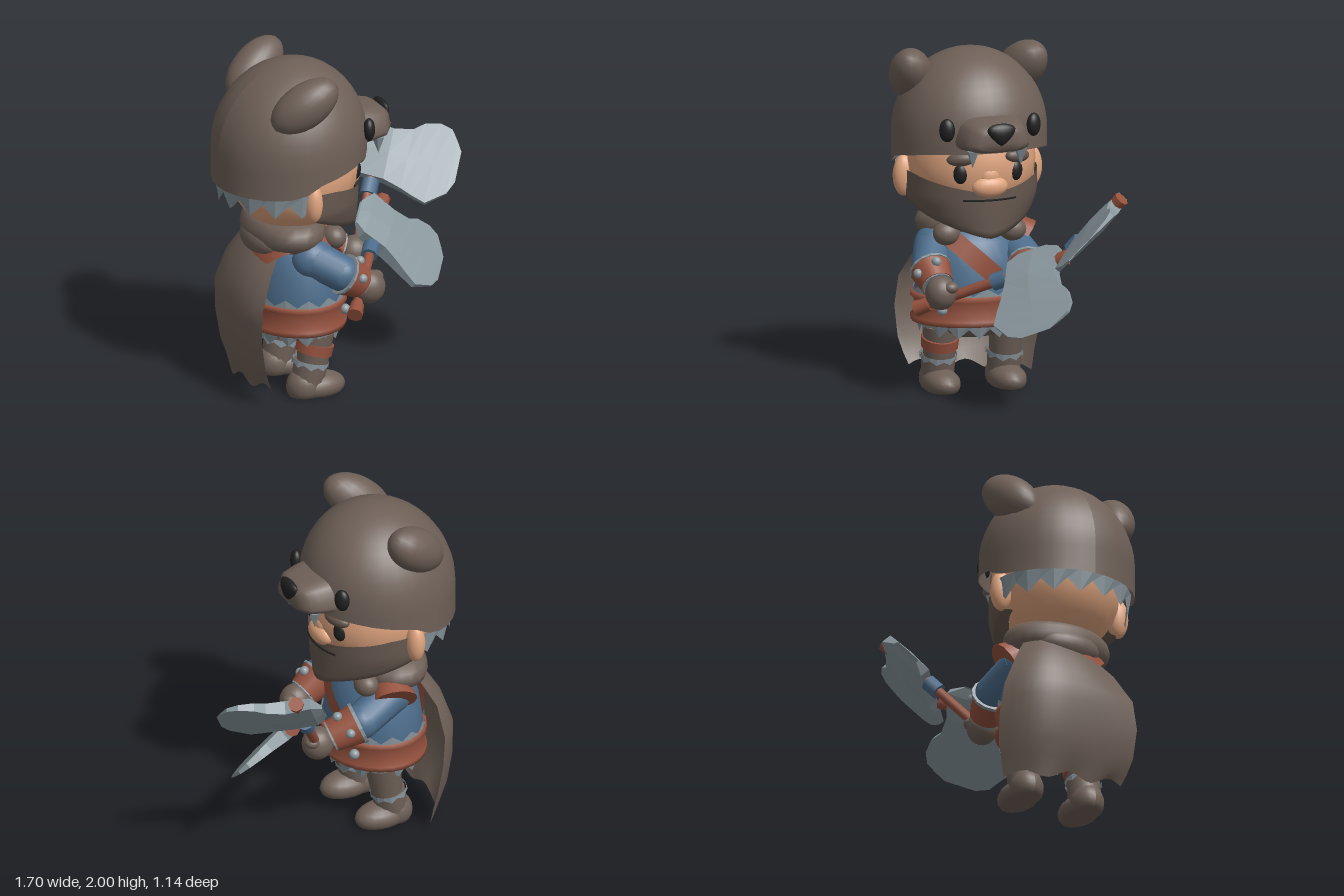
import * as THREE from 'three';

const paint = (name, color, double = false) => {
  const m = new THREE.MeshStandardMaterial({ color, side: double ? THREE.DoubleSide : THREE.FrontSide });
  m.name = name;
  return m;
};
const V = (x, y, z) => new THREE.Vector3(x, y, z);
const CZ = 0.1; // the body's middle plane

export function createModel() {
  const fur = paint('brown fur', 0x6e6057, true);
  const hair = paint('beard brown', 0x65574e, true);
  const skin = paint('skin', 0xe0a57f);
  const blue = paint('blue cloth', 0x4d6d8c);
  const leather = paint('red leather', 0x96523e, true);
  const steel = paint('steel', 0x8b999f, true);
  const trim = paint('grey trim', 0x87949b, true);
  trim.flatShading = steel.flatShading = true;
  const black = paint('black', 0x202020);

  const model = new THREE.Group();
  const add = (name, geo, mat, pos = V(0, 0, 0), parent = model) => {
    const m = new THREE.Mesh(geo, mat);
    m.name = name;
    m.position.copy(pos);
    parent.add(m);
    return m;
  };
  const ball = (name, mat, pos, s, rot = [0, 0, 0]) => {
    const m = add(name, new THREE.SphereGeometry(1, 20, 14), mat, pos);
    m.scale.set(...s);
    m.rotation.set(...rot);
    return m;
  };
  // tapered cylinder from a to b
  const limb = (name, mat, a, b, ra, rb, parent = model, sides = 14) => {
    const m = add(name, new THREE.CylinderGeometry(rb, ra, a.distanceTo(b), sides), mat,
      a.clone().lerp(b, 0.5), parent);
    m.quaternion.setFromUnitVectors(V(0, 1, 0), b.clone().sub(a).normalize());
    return m;
  };
  // surface from a rule over u, v in 0..1
  const sheet = (name, mat, nu, nv, rule, parent = model) => {
    const g = new THREE.PlaneGeometry(1, 1, nu, nv), p = g.attributes.position, uv = g.attributes.uv;
    for (let i = 0; i < p.count; i++) p.setXYZ(i, ...rule(uv.getX(i), uv.getY(i)));
    g.computeVertexNormals();
    return add(name, g, mat, V(0, 0, 0), parent);
  };
  // open band with a jagged lower edge
  const zigzag = (name, c, rx, rz, h, teeth, start = 0, arc = Math.PI * 2, flare = 1) => {
    const g = new THREE.CylinderGeometry(1, flare, h, teeth * 2, 1, true, start, arc), p = g.attributes.position;
    const row = teeth * 2 + 1;
    for (let i = 0; i < row; i += 2) p.setY(row + i, h * 0.05);
    const m = add(name, g, trim, c);
    m.scale.set(rx, 1, rz);
    return m;
  };
  const lathe = (name, mat, pts, sx) => {
    const m = add(name, new THREE.LatheGeometry(pts.map(p => new THREE.Vector2(...p)), 28), mat, V(-0.37, 0, CZ));
    m.scale.x = sx;
    return m;
  };
  // piecewise linear lookup on evenly spaced values
  const track = (vals, t) => {
    const f = Math.min(Math.max(t, 0), 1) * (vals.length - 1), i = Math.min(Math.floor(f), vals.length - 2);
    return vals[i] + (vals[i + 1] - vals[i]) * (f - i);
  };

  // head and face
  ball('head', skin, V(-0.38, 1.35, CZ), [0.385, 0.38, 0.375]);
  ball('nose', skin, V(-0.025, 1.24, CZ), [0.055, 0.065, 0.108]);
  ball('noseBridge', skin, V(-0.025, 1.3, CZ), [0.035, 0.06, 0.06]);
  for (const s of [-1, 1]) {
    ball('ear', skin, V(-0.43, 1.25, CZ + s * 0.385), [0.055, 0.122, 0.065]);
    ball('eye', black, V(-0.055, 1.32, CZ + s * 0.168), [0.03, 0.06, 0.042], [0, -s * 0.4, 0]);
    ball('eyebrow', hair, V(-0.035, 1.41, CZ + s * 0.17), [0.04, 0.04, 0.085], [s * 0.1, -s * 0.4, 0]);
  }
  const mouth = add('mouth', new THREE.TorusGeometry(0.386, 0.006, 5, 14, 0.85), black, V(-0.384, 1.165, CZ));
  mouth.rotation.set(Math.PI / 2, 0, -0.425);

  // beard wraps the jaw and closes underneath
  sheet('beard', hair, 24, 9, (u, v) => {
    const k = Math.abs(u * 2 - 1), a = (u * 2 - 1) * 1.72;
    const top = 1.2 + 0.09 * Math.min(1, k * 1.3), low = 0.93 + 0.2 * k ** 1.4;
    const t = Math.min(1, (1 - v) / 0.8), y = top + (low - top) * t;
    const shrink = v < 0.15 ? 0.45 : 1;
    const rz = track([0.25, 0.34, 0.385, 0.385], (y - 0.93) / 0.33);
    return [-0.385 + 0.385 * shrink * Math.cos(a), v < 0.15 ? y + 0.06 : y, CZ - rz * shrink * Math.sin(a)];
  });

  // bear hood
  sheet('hood', fur, 32, 16, (u, v) => {
    const a = (u * 2 - 1) * Math.PI, c = Math.cos(a);
    const rim = track([1.285, 1.29, 1.295, 1.31, 1.375, 1.4, 1.42, 1.44, 1.45], (c + 1) / 2);
    const phi = Math.max(0, (v - 0.25) / 0.75) * Math.PI / 2;
    const y = v < 0.25 ? rim + (1.5 - rim) * v * 4 : 1.5 + 0.49 * Math.sin(phi);
    const r = 0.45 * Math.cos(phi);
    return [-0.4 + 0.025 * Math.sin(phi) + r * c, y, CZ - r * Math.sin(a)];
  });
  zigzag('hoodFringe', V(-0.4, 1.24, CZ), 0.435, 0.425, 0.14, 8, Math.PI + 0.06, Math.PI - 0.12, 0.96);
  // muzzle, broad below and rounded toward the tip
  const soft = n => Math.sign(n) * Math.abs(n) ** 0.6;
  sheet('muzzle', fur, 24, 8, (u, v) => {
    const a = u * Math.PI * 2, hi = track([1.68, 1.665, 1.645, 1.62, 1.57], v), lo = track([1.45, 1.465, 1.475, 1.495, 1.57], v);
    const up = soft(Math.cos(a)), wide = track([0.21, 0.2, 0.175, 0.12, 0], v) * (1 - 0.16 * up);
    return [track([-0.06, 0.05, 0.14, 0.185, 0.195], v), (hi + lo) / 2 + up * (hi - lo) / 2, CZ + wide * soft(Math.sin(a))];
  });
  const snout = new THREE.SphereGeometry(1, 16, 12), sp = snout.attributes.position;
  for (let i = 0; i < sp.count; i++) sp.setZ(i, sp.getZ(i) * (0.68 + 0.4 * sp.getY(i)));
  snout.computeVertexNormals();
  add('bearNose', snout, black, V(0.185, 1.59, CZ)).scale.set(0.035, 0.065, 0.11);
  for (const s of [-1, 1]) {
    ball('bearEye', black, V(-0.015, 1.59, CZ + s * 0.262), [0.035, 0.068, 0.046], [0, -s * 0.5, 0]);
    ball('bearEar', fur, V(-0.46, 1.835, CZ + s * 0.335), [0.225, 0.13, 0.125], [0, -s * 0.3, 0.62]);
    const tooth = add('tooth', new THREE.ConeGeometry(0.038, 0.1, 5), trim, V(0.1, 1.435, CZ + s * 0.145));
    tooth.rotation.x = Math.PI;
  }

  // torso, belt and hips
  lathe('tunic', blue, [[0.32, 0.45], [0.33, 0.6], [0.305, 0.75], [0.26, 0.88], [0.15, 0.98], [0, 1]], 0.83);
  zigzag('tunicHem', V(-0.37, 0.585, CZ), 0.285, 0.342, -0.08, 14);
  lathe('belt', leather, [[0.3, 0.4], [0.35, 0.4], [0.355, 0.43], [0.335, 0.445], [0.335, 0.53], [0.355, 0.545], [0.35, 0.575], [0.3, 0.575]], 0.84);
  zigzag('beltFringe', V(-0.37, 0.375, CZ), 0.28, 0.325, 0.1, 15, 0, Math.PI * 2, 0.92);
  lathe('trousers', fur, [[0, 0.3], [0.15, 0.31], [0.25, 0.35], [0.29, 0.42], [0.29, 0.46]], 0.86);
  for (const a of [-0.65, 0.8])
    ball('beltStud', steel, V(-0.36 + 0.29 * Math.cos(a), 0.5, CZ + 0.34 * Math.sin(a)), [0.03, 0.03, 0.03]);
  const strap = add('chestStrap', new THREE.CylinderGeometry(1, 1, 0.11, 28, 1, true), leather, V(-0.38, 0.75, CZ));
  strap.scale.set(0.28, 1, 0.33);
  strap.rotation.x = -0.74;

  // cape, swung so its right edge comes forward, with a rolled collar
  sheet('cape', fur, 20, 10, (u, v) => {
    const k = u * 2 - 1, t = 1 - v;
    const w = track([0.2, 0.31, 0.385, 0.405, 0.395, 0.35], t);
    const curl = k < 0 ? track([0.1, 0.13, 0.18, 0.2, 0.2, 0.16], t) * -k * k * k : track([0.1, 0.08, 0.05, 0.03, 0.03, 0.03], t) * k * k;
    const x = track([-0.6, -0.71, -0.77, -0.765, -0.735, -0.67], t) + curl;
    const ragged = v === 0 ? 0.025 * Math.sin(u * 16) + 0.03 * k : 0;
    return [x, 0.95 - 0.89 * t + ragged, 0.035 + w * k];
  });
  const collar = add('collar', new THREE.TorusGeometry(0.18, 0.085, 12, 24), fur, V(-0.43, 0.97, 0.08));
  collar.rotation.x = Math.PI / 2;
  collar.scale.set(0.85, 1.25, 1.05);
  ball('droppedHood', fur, V(-0.56, 0.92, 0.08), [0.11, 0.1, 0.2]);
  for (const s of [-1, 1]) ball('collarEnd', fur, V(-0.21, 0.94, CZ + s * 0.2), [0.07, 0.07, 0.08]);

  // legs and boots
  for (const s of [-1, 1]) {
    const z = CZ + s * 0.2;
    limb('leg', fur, V(-0.36, 0.1, z), V(-0.32, 0.38, z), 0.085, 0.105);
    limb('bootCuff', fur, V(-0.38, 0.06, z), V(-0.355, 0.2, z), 0.095, 0.1);
    zigzag('bootTrim', V(-0.36, 0.188, z), 0.108, 0.108, 0.04, 8).rotation.z = -0.2;
    const sole = new THREE.SphereGeometry(1, 20, 12), p = sole.attributes.position;
    for (let i = 0; i < p.count; i++) p.setY(i, Math.max(p.getY(i), -0.5));
    sole.computeVertexNormals();
    add('boot', sole, fur, V(-0.31, 0.042, z)).scale.set(0.165, 0.085, 0.107);
    add('bootHeel', sole, fur, V(-0.395, 0.055, z)).scale.set(0.11, 0.11, 0.1);
  }
  limb('kneeBand', leather, V(-0.34, 0.25, CZ + 0.2), V(-0.325, 0.31, CZ + 0.2), 0.108, 0.11);

  // arms: shoulder, elbow, hand
  const arms = [
    [V(-0.36, 0.84, 0.33), V(-0.21, 0.75, 0.405), V(-0.03, 0.635, 0.395)],
    [V(-0.36, 0.84, -0.12), V(-0.14, 0.75, -0.17), V(0.11, 0.645, -0.1)],
  ];
  for (const [sh, el, hand] of arms) {
    const at = t => el.clone().lerp(hand, t);
    ball('shoulder', blue, sh, [0.13, 0.12, 0.11]);
    limb('sleeve', blue, sh, el, 0.115, 0.105);
    ball('elbow', blue, el, [0.105, 0.105, 0.105]);
    limb('bracer', leather, at(0.1), at(0.68), 0.12, 0.095);
    limb('bracerTrim', trim, at(0.05), at(0.12), 0.124, 0.124);
    limb('bracerTrim', trim, at(0.65), at(0.72), 0.09, 0.09);
    ball('bracerStud', steel, at(0.38).add(V(0.05, 0.1, 0)), [0.028, 0.028, 0.028]);
    ball('bracerStud', steel, at(0.38).add(V(0.02, 0.03, Math.sign(sh.z) * 0.1)), [0.028, 0.028, 0.028]);
    ball('hand', fur, hand, [0.095, 0.1, 0.09]);
    ball('thumb', fur, hand.clone().add(V(0.06, 0.04, -0.04)), [0.045, 0.035, 0.045]);
  }
  limb('shoulderGuard', leather, V(-0.38, 0.94, -0.07), V(-0.34, 0.84, -0.2), 0.09, 0.135);

  // axes: local y runs up the handle, local x points to the cutting edge
  // blade stations: x, lower y, upper y, half thickness
  const stations = [[-0.135, -0.06, 0.12, 0.012], [-0.08, -0.12, 0.21, 0.04], [0.07, -0.135, 0.18, 0.05], [0.18, -0.17, 0.2, 0.038],
    [0.24, -0.195, 0.25, 0.031], [0.33, -0.225, 0.27, 0.021], [0.4, -0.17, 0.25, 0.013], [0.44, -0.14, 0.19, 0.008], [0.475, -0.06, 0.13, 0.002]];
  const bladeAt = (u, v) => {
    const [x, lo, hi, t] = stations[Math.round(v * 8)], mid = (lo + hi) / 2;
    const [y, k] = [[lo, 0.8], [mid, 1], [hi, 0.8], [hi, -0.8], [mid, -1], [lo, -0.8], [lo, 0.8]][Math.round(u * 6)];
    return [x, y, t * k];
  };
  const axe = (centre, up, out, tail, tip) => {
    const g = new THREE.Group();
    g.name = 'axe';
    const y = up.normalize(), z = out.clone().cross(y).normalize(), x = y.clone().cross(z);
    g.quaternion.setFromRotationMatrix(new THREE.Matrix4().makeBasis(x, y, z));
    g.position.copy(centre);
    limb('axeHandle', leather, V(0, -tail, 0), V(0, tip, 0), 0.03, 0.03, g, 8);
    limb('axePommel', leather, V(0, -tail, 0), V(0, -tail + 0.09, 0), 0.048, 0.04, g, 8);
    limb('axeTip', leather, V(0, tip - 0.06, 0), V(0, tip, 0), 0.04, 0.045, g, 8);
    limb('axeBinding', blue, V(0, -0.23, 0), V(0, -0.14, 0), 0.05, 0.05, g, 8);
    sheet('axeBlade', steel, 6, 8, bladeAt, g);
    model.add(g);
  };
  axe(V(0.224, 0.79, -0.05), V(0.54, 0.37, -0.75), V(0.75, -0.625, 0.225), 0.73, 0.25);
  axe(V(0.394, 1.07, -0.404), V(0.46, 0.72, -0.51), V(0.84, -0.13, 0.53), 0.62, 0.23);

  return model;
}
